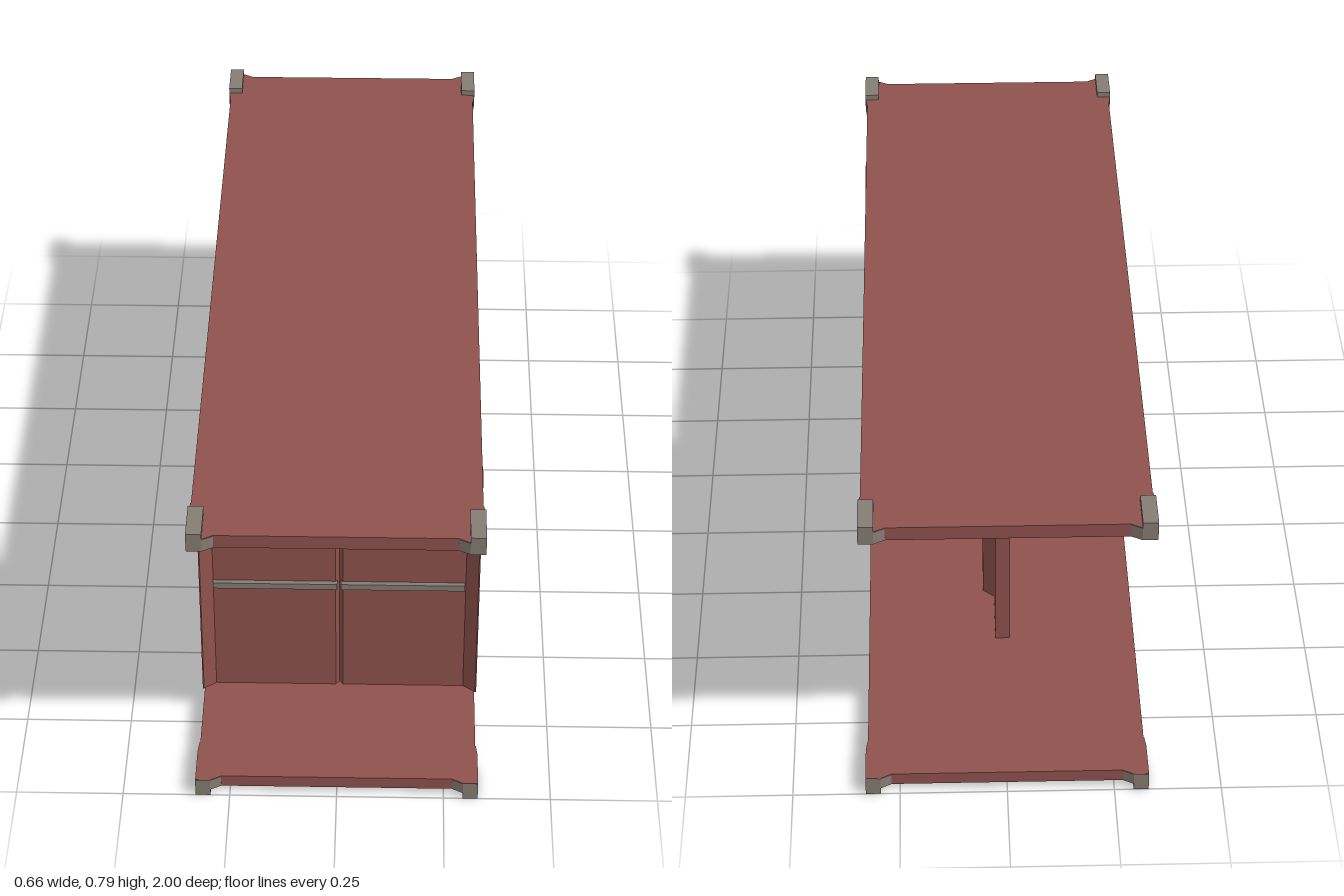
import * as THREE from 'three';

const red = new THREE.MeshStandardMaterial({ color: 0x8f524d, flatShading: true });
const grey = new THREE.MeshStandardMaterial({ color: 0x857d74, flatShading: true });

// Upright prism from an [x, z] outline
function prism(name, outline, y0, y1, material) {
  const shape = new THREE.Shape(outline.map(([x, z]) => new THREE.Vector2(x, -z)));
  const geometry = new THREE.ExtrudeGeometry(shape, { depth: y1 - y0, bevelEnabled: false });
  geometry.rotateX(-Math.PI / 2).translate(0, y0, 0);
  const mesh = new THREE.Mesh(geometry, material);
  mesh.name = name;
  return mesh;
}

function box(name, [x0, x1], [y0, y1], [z0, z1], material) {
  const mesh = new THREE.Mesh(new THREE.BoxGeometry(x1 - x0, y1 - y0, z1 - z0), material);
  mesh.position.set((x0 + x1) / 2, (y0 + y1) / 2, (z0 + z1) / 2);
  mesh.name = name;
  return mesh;
}

// Flat plate whose edges flare out to meet a block at each corner
function deck(name, plateY, blockY) {
  const group = new THREE.Group();
  group.name = name;
  const quarter = [[0.325, 0.87], [0.329, 0.9], [0.329, 0.999], [0.295, 0.999], [0.27, 0.985]];
  const flip = (sx, sz) => quarter.map(([x, z]) => [sx * x, sz * z]);
  const outline = [
    ...flip(1, 1), ...flip(-1, 1).reverse(), ...flip(-1, -1), ...flip(1, -1).reverse(),
  ];
  group.add(prism('plate', outline, ...plateY, red));

  for (const sx of [-1, 1]) {
    for (const sz of [-1, 1]) {
      const span = (s, a, b) => (s > 0 ? [a, b] : [-b, -a]);
      group.add(box('cornerBlock', span(sx, 0.295, 0.33), blockY, span(sz, 0.9, 1), grey));
      // Thin facings on the flared edges
      const facings = [
        [[0.27, 0.984], [0.295, 0.998], [0.295, 1], [0.27, 0.9865]],
        [[0.324, 0.87], [0.328, 0.9], [0.33, 0.9], [0.3265, 0.87]],
      ];
      for (const points of facings) {
        const mirrored = points.map(([x, z]) => [sx * x, sz * z]);
        group.add(prism('cornerFacing', mirrored, plateY[0] + 0.001, plateY[1] - 0.001, grey));
      }
    }
  }
  return group;
}

export function createModel() {
  const model = new THREE.Group();
  model.add(deck('floor', [0.016, 0.047], [0, 0.046]));
  model.add(deck('roof', [0.737, 0.771], [0.738, 0.785]));

  // Side wall: flat on the right, three ribs on the left
  const wall = [[-0.02, -0.5], [-0.02, 0.5], [0.015, 0.5]];
  for (const z of [0.305, 0.003, -0.299]) {
    wall.push([0.015, z], [0.042, z - 0.006], [0.042, z - 0.014], [0.015, z - 0.038]);
  }
  wall.push([0.015, -0.5]);
  model.add(prism('sideWall', wall, 0.048, 0.695, red));

  // End wall: slanted jambs around two recessed doors with a groove between
  const end = [
    [-0.33, 0.63], [-0.33, 0.682], [-0.327, 0.682], [-0.298, 0.66],
    [-0.009, 0.66], [0, 0.648], [0.008, 0.66],
    [0.298, 0.66], [0.327, 0.682], [0.33, 0.682], [0.33, 0.63],
  ];
  model.add(prism('doorWall', end, 0.046, 0.696, red));

  // Door bars
  for (const x of [[-0.298, -0.005], [0.004, 0.296]]) {
    model.add(box('doorBar', x, [0.355, 0.371], [0.655, 0.672], grey));
  }
  return model;
}
